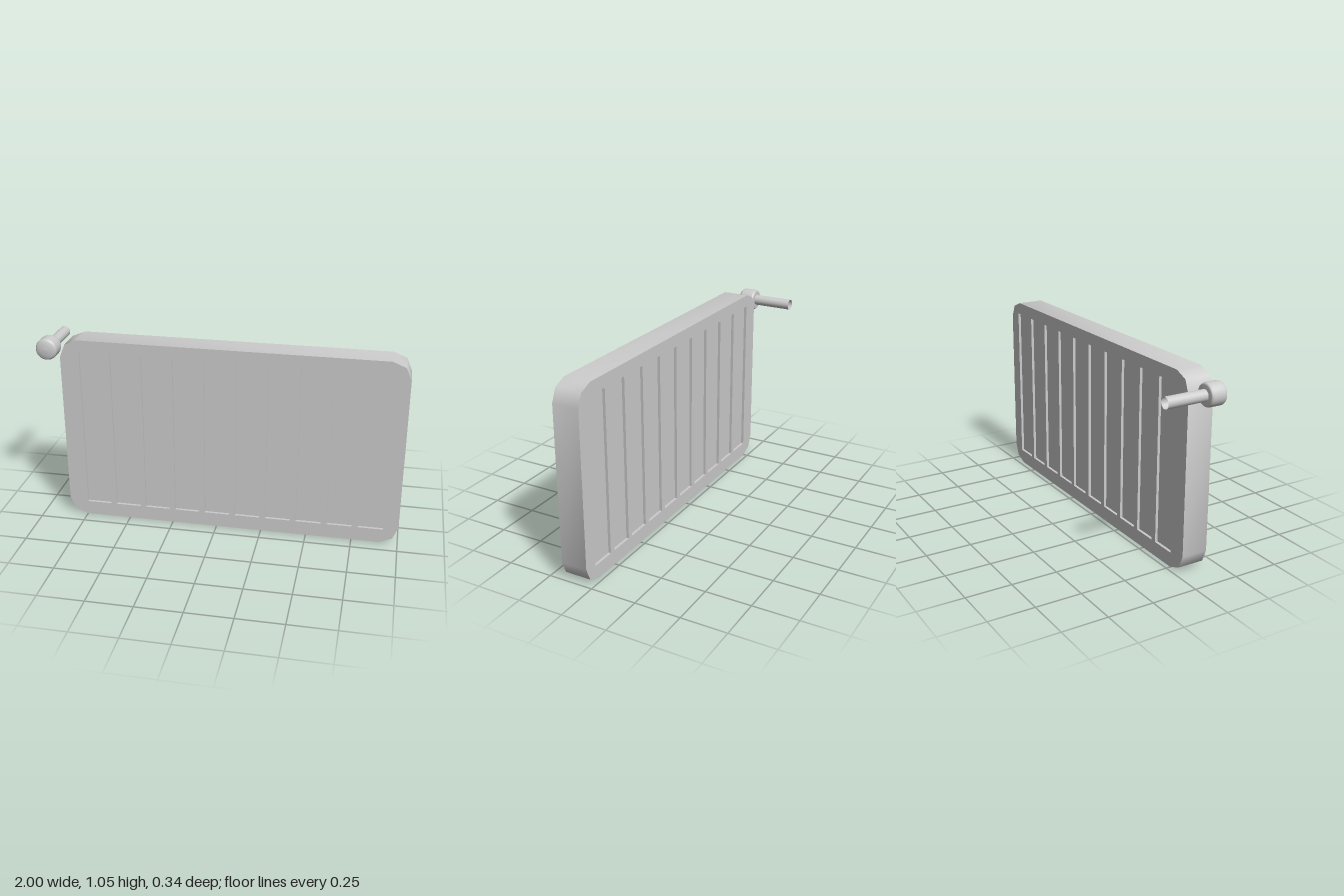
import * as THREE from 'three';
import { toCreasedNormals } from 'three/addons/utils/BufferGeometryUtils.js';

const material = new THREE.MeshStandardMaterial({ color: 0xcccccc });
const openMaterial = new THREE.MeshStandardMaterial({ color: 0xcccccc, side: THREE.DoubleSide });

const LEFT = -0.85, RIGHT = 1, TOP = 1.05, CORNER = 0.1;
const BACK = 0.026, FRONT = 0.172, RECESS = 0.015;
const SLOTS = 10, SLOT_START = -0.745, SLOT_STEP = 0.1697, SLOT_WIDTH = 0.137;
const SLOT_BOTTOM = 0.08, SLOT_TOP = 0.982;

function addMesh(parent, name, geometry, mat = material) {
  const mesh = new THREE.Mesh(geometry, mat);
  mesh.name = name;
  parent.add(mesh);
  return mesh;
}

// Rectangle whose corners are cut by two-segment arcs
function panelOutline() {
  const corners = [
    [RIGHT - CORNER, TOP - CORNER], [LEFT + CORNER, TOP - CORNER],
    [LEFT + CORNER, CORNER], [RIGHT - CORNER, CORNER],
  ];
  const points = [];
  corners.forEach(([x, y], i) => {
    for (let s = 0; s <= 2; s++) {
      const a = (i + s / 2) * Math.PI / 2;
      points.push(new THREE.Vector2(x + CORNER * Math.cos(a), y + CORNER * Math.sin(a)));
    }
  });
  return new THREE.Shape(points);
}

function createRadiator() {
  const radiator = new THREE.Group();
  radiator.name = 'radiatorPanel';

  // Frame with a row of tall slots
  const outline = panelOutline();
  for (let i = 0; i < SLOTS; i++) {
    const x0 = SLOT_START + i * SLOT_STEP, x1 = x0 + SLOT_WIDTH;
    outline.holes.push(new THREE.Path([
      new THREE.Vector2(x0, SLOT_BOTTOM), new THREE.Vector2(x0, SLOT_TOP),
      new THREE.Vector2(x1, SLOT_TOP), new THREE.Vector2(x1, SLOT_BOTTOM),
    ]));
  }
  const frame = new THREE.ExtrudeGeometry(outline, { depth: FRONT - BACK, bevelEnabled: false });
  frame.translate(0, 0, BACK);
  addMesh(radiator, 'slottedFrame', toCreasedNormals(frame, THREE.MathUtils.degToRad(50)));

  // Web that closes the slots, leaving shallow recesses on both faces
  const webRight = SLOT_START + (SLOTS - 1) * SLOT_STEP + SLOT_WIDTH;
  const web = addMesh(radiator, 'recessWeb', new THREE.BoxGeometry(
    webRight - SLOT_START + 0.02, SLOT_TOP - SLOT_BOTTOM + 0.02, FRONT - BACK - 2 * RECESS));
  web.position.set((SLOT_START + webRight) / 2, (SLOT_TOP + SLOT_BOTTOM) / 2, (FRONT + BACK) / 2);
  return radiator;
}

function createValve() {
  const valve = new THREE.Group();
  valve.name = 'valve';
  valve.position.set(-0.94, 0.971, 0);

  // Open pipe running backwards
  const pipe = new THREE.CylinderGeometry(0.03, 0.03, 0.232, 32, 1, true).rotateX(Math.PI / 2);
  addMesh(valve, 'valvePipe', pipe, openMaterial).position.z = -0.056;

  // Knob with a softened rear edge and a domed front
  const profile = [
    [0, 0.051], [0.05, 0.051], [0.057, 0.056], [0.06, 0.066],
    [0.06, 0.128], [0.057, 0.137], [0.048, 0.144], [0.025, 0.149], [0, 0.151],
  ].map(([r, z]) => new THREE.Vector2(r, z));
  addMesh(valve, 'valveKnob', new THREE.LatheGeometry(profile, 32).rotateX(Math.PI / 2));
  return valve;
}

export function createModel() {
  const model = new THREE.Group();
  model.name = 'radiator';
  model.add(createRadiator(), createValve());
  return model;
}
